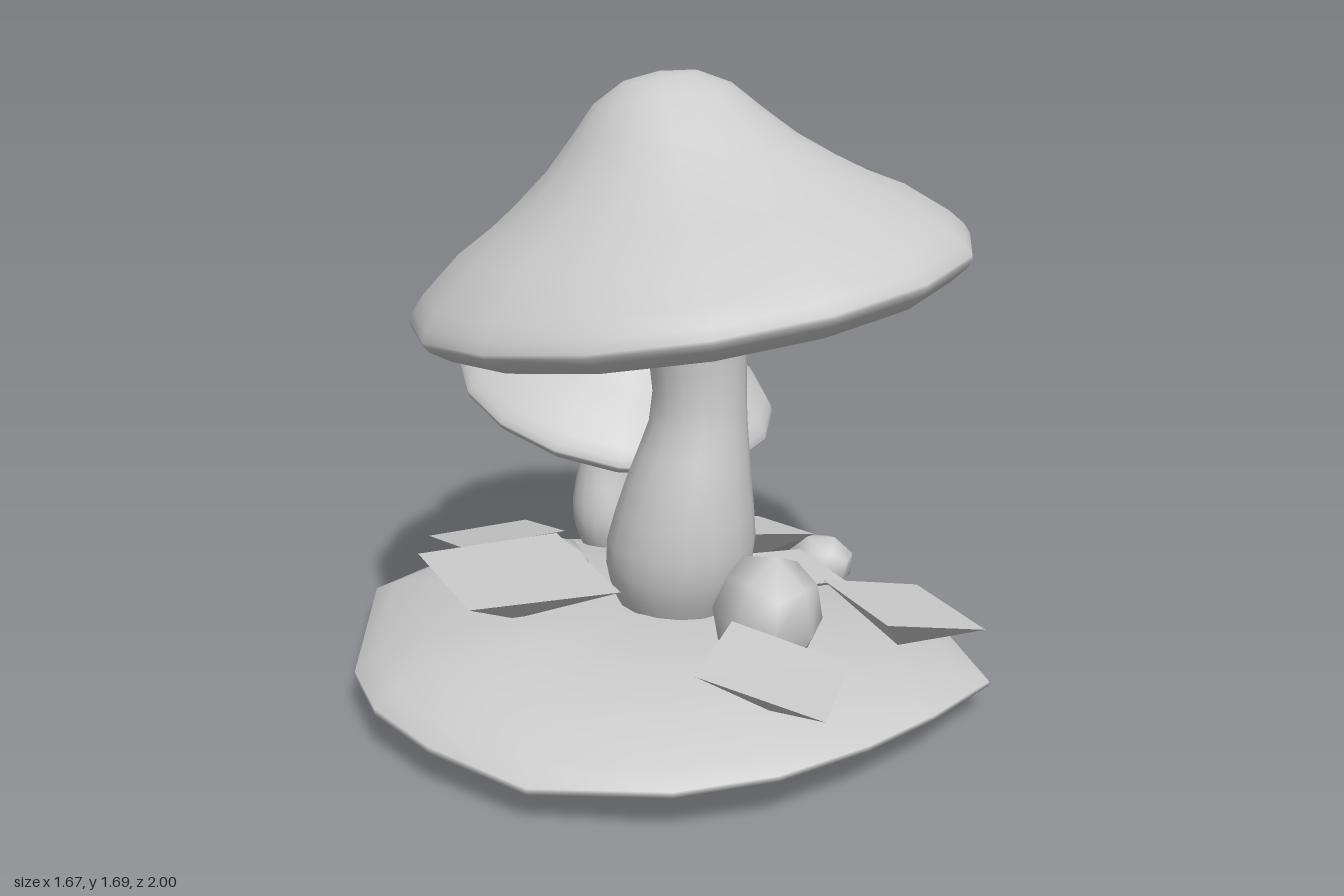
import * as THREE from 'three';
import { mergeVertices } from 'three/addons/utils/BufferGeometryUtils.js';

const grey = new THREE.MeshStandardMaterial({ color: 0xcccccc });
const greyFlat = new THREE.MeshStandardMaterial({ color: 0xcccccc, flatShading: true });

// Weld vertices and recompute smooth normals
function smooth(geometry) {
  geometry.deleteAttribute('normal');
  geometry.deleteAttribute('uv');
  const welded = mergeVertices(geometry, 1e-4);
  welded.computeVertexNormals();
  return welded;
}

function add(parent, name, geometry, material = grey) {
  const mesh = new THREE.Mesh(geometry, material);
  mesh.name = name;
  parent.add(mesh);
  return mesh;
}

// Cap: lathed from underside centre, round the rim, to the apex
const capProfile = [
  [0, -0.04], [0.15, -0.045], [0.4, -0.055], [0.6, -0.068], [0.685, -0.057], [0.735, -0.022], [0.748, -0.004],
  [0.748, 0.006], [0.735, 0.035], [0.7, 0.075], [0.59, 0.165], [0.5, 0.215], [0.42, 0.27], [0.33, 0.34],
  [0.25, 0.42], [0.18, 0.495], [0.1, 0.538], [0, 0.552],
].map(([r, y]) => new THREE.Vector2(r, y));

function addCap(parent, centre, axis, scale) {
  const cap = add(parent, 'cap', smooth(new THREE.LatheGeometry(capProfile, 16)));
  cap.position.set(...centre);
  cap.quaternion.setFromUnitVectors(new THREE.Vector3(0, 1, 0), new THREE.Vector3(...axis).normalize());
  cap.scale.setScalar(scale);
}

// Stem: round sections [centre x, y, centre z, radius] from the foot upwards
function addStem(parent, sections) {
  const spine = new THREE.CatmullRomCurve3(sections.map(([x, y, z]) => new THREE.Vector3(x, y, z)));
  const radii = new THREE.CatmullRomCurve3(sections.map(([, y, , r]) => new THREE.Vector3(r, y, 0)));
  const steps = 20;
  const centres = spine.getPoints(steps);
  const profile = radii.getPoints(steps).map((p, i) => new THREE.Vector2(Math.max(0, p.x), centres[i].y));
  const geometry = new THREE.LatheGeometry(profile, 16);
  const pos = geometry.attributes.position;
  for (let i = 0; i < pos.count; i++) {
    const c = centres[i % (steps + 1)];
    pos.setX(i, pos.getX(i) + c.x);
    pos.setZ(i, pos.getZ(i) + c.z);
  }
  add(parent, 'stem', smooth(geometry));
}

// Ground: thin domed shell, hollow beneath, with an irregular wavy rim [x, y, z]
function addGround(parent) {
  const rim = [
    [-0.08, 0.13, 0.93], [0.2, 0.12, 0.88], [0.45, 0.105, 0.79], [0.72, 0.08, 0.65], [0.79, 0.08, 0.35],
    [0.8, 0.055, 0], [0.77, 0.012, -0.33], [0.65, 0, -0.65], [0.4, 0.005, -0.79], [0.1, 0.04, -0.84],
    [-0.3, 0.075, -0.78], [-0.59, 0.08, -0.63], [-0.82, 0.105, -0.07], [-0.835, 0.105, 0.16],
    [-0.77, 0.1, 0.4], [-0.62, 0.09, 0.67], [-0.33, 0.115, 0.87],
  ];
  // Rings as [radius, dome height]: underside outwards, then top inwards
  const under = [0, 0.25, 0.5, 0.75, 0.92, 1].map((r) => [r, 0.115 * (1 - r ** 2.6)]);
  const top = [1, 0.92, 0.75, 0.5, 0.25, 0].map((r) => [r, 0.015 + 0.14 * (1 - r ** 3.3)]);
  const rings = [...under, ...top];
  const geometry = new THREE.LatheGeometry(rings.map(([r], i) => new THREE.Vector2(r, i)), rim.length);
  const pos = geometry.attributes.position;
  const centre = new THREE.Vector3(-0.12, 0.09, 0.18);
  const p = new THREE.Vector3();
  for (let i = 0; i < pos.count; i++) {
    const [r, height] = rings[i % rings.length];
    p.set(...rim[Math.floor(i / rings.length) % rim.length]);
    p.lerpVectors(centre, p, r);
    pos.setXYZ(i, p.x, p.y + height * (1 - 0.2 * p.x), p.z);
  }
  add(parent, 'ground', smooth(geometry));
}

// Rock: a cube of two steps a side, rounded to a ball
function addRock(parent, centre, radii, turn) {
  const geometry = new THREE.BoxGeometry(1, 1, 1, 2, 2, 2);
  const pos = geometry.attributes.position;
  const p = new THREE.Vector3();
  for (let i = 0; i < pos.count; i++) {
    p.fromBufferAttribute(pos, i).normalize();
    pos.setXYZ(i, p.x, p.y, p.z);
  }
  geometry.rotateX(turn * 0.4).rotateY(turn).scale(...radii);
  add(parent, 'rock', smooth(geometry)).position.set(...centre);
}

// Leaf: four corners (anticlockwise from above) over a point set in the ground
function addLeaf(parent, corners, foot) {
  const geometry = new THREE.BufferGeometry();
  geometry.setAttribute('position', new THREE.Float32BufferAttribute([...corners, foot].flat(), 3));
  const index = [0, 1, 2, 0, 2, 3];
  for (let i = 0; i < 4; i++) index.push(4, (i + 1) % 4, i);
  geometry.setIndex(index);
  geometry.computeVertexNormals();
  add(parent, 'leaf', geometry, greyFlat);
}

export function createModel() {
  const model = new THREE.Group();
  model.name = 'mushrooms';
  addGround(model);

  const large = new THREE.Group();
  large.name = 'largeMushroom';
  addCap(large, [0.095, 1.14, 0.09], [-0.12, 1, -0.107], 1);
  addStem(large, [
    [0.06, 0.14, 0.09, 0], [0.06, 0.145, 0.09, 0.1], [0.06, 0.24, 0.09, 0.165], [0.065, 0.38, 0.1, 0.205],
    [0.08, 0.6, 0.12, 0.17], [0.11, 0.8, 0.12, 0.128], [0.105, 1.0, 0.105, 0.14],
    [0.1, 1.08, 0.1, 0.16], [0.1, 1.15, 0.1, 0.2],
  ]);
  model.add(large);

  const small = new THREE.Group();
  small.name = 'smallMushroom';
  addCap(small, [0.162, 0.66, -0.536], [0.1, 1, 0.26], 0.645);
  addStem(small, [
    [0.14, 0.1, -0.565, 0], [0.14, 0.11, -0.565, 0.055], [0.14, 0.2, -0.565, 0.098], [0.14, 0.28, -0.57, 0.105],
    [0.14, 0.42, -0.575, 0.08], [0.15, 0.54, -0.56, 0.076], [0.155, 0.61, -0.55, 0.095], [0.155, 0.67, -0.545, 0.12],
  ]);
  model.add(small);

  // Rocks
  addRock(model, [0.145, 0.325, 0.455], [0.145, 0.165, 0.15], 0.4);
  addRock(model, [0.615, 0.18, -0.072], [0.105, 0.088, 0.098], 1.1);
  addRock(model, [-0.18, 0.245, -0.2], [0.1, 0.105, 0.1], 2);

  // Leaves scattered round the stems
  addLeaf(model, [[-0.22, 0.355, 0.76], [0, 0.3, 1], [0.21, 0.3, 0.76], [0, 0.36, 0.53]], [-0.01, 0.215, 0.75]);
  addLeaf(model, [[0.33, 0.37, 0.74], [0.63, 0.3, 0.74], [0.63, 0.3, 0.42], [0.33, 0.37, 0.42]], [0.47, 0.22, 0.58]);
  addLeaf(model, [[-0.6, 0.385, 0.24], [-0.2, 0.38, 0.29], [-0.2, 0.385, -0.15], [-0.6, 0.385, -0.17]], [-0.4, 0.24, 0.04]);
  addLeaf(model, [[0.3, 0.32, -0.08], [0.6, 0.27, -0.08], [0.58, 0.22, -0.39], [0.28, 0.28, -0.39]], [0.45, 0.16, -0.22]);
  addLeaf(model, [[0.32, 0.26, 0.2], [0.54, 0.24, 0.2], [0.54, 0.24, -0.06], [0.32, 0.26, -0.06]], [0.42, 0.18, 0.08]);
  addLeaf(model, [[-0.43, 0.33, -0.28], [-0.12, 0.33, -0.28], [-0.12, 0.25, -0.6], [-0.43, 0.25, -0.6]], [-0.27, 0.18, -0.44]);

  return model;
}
